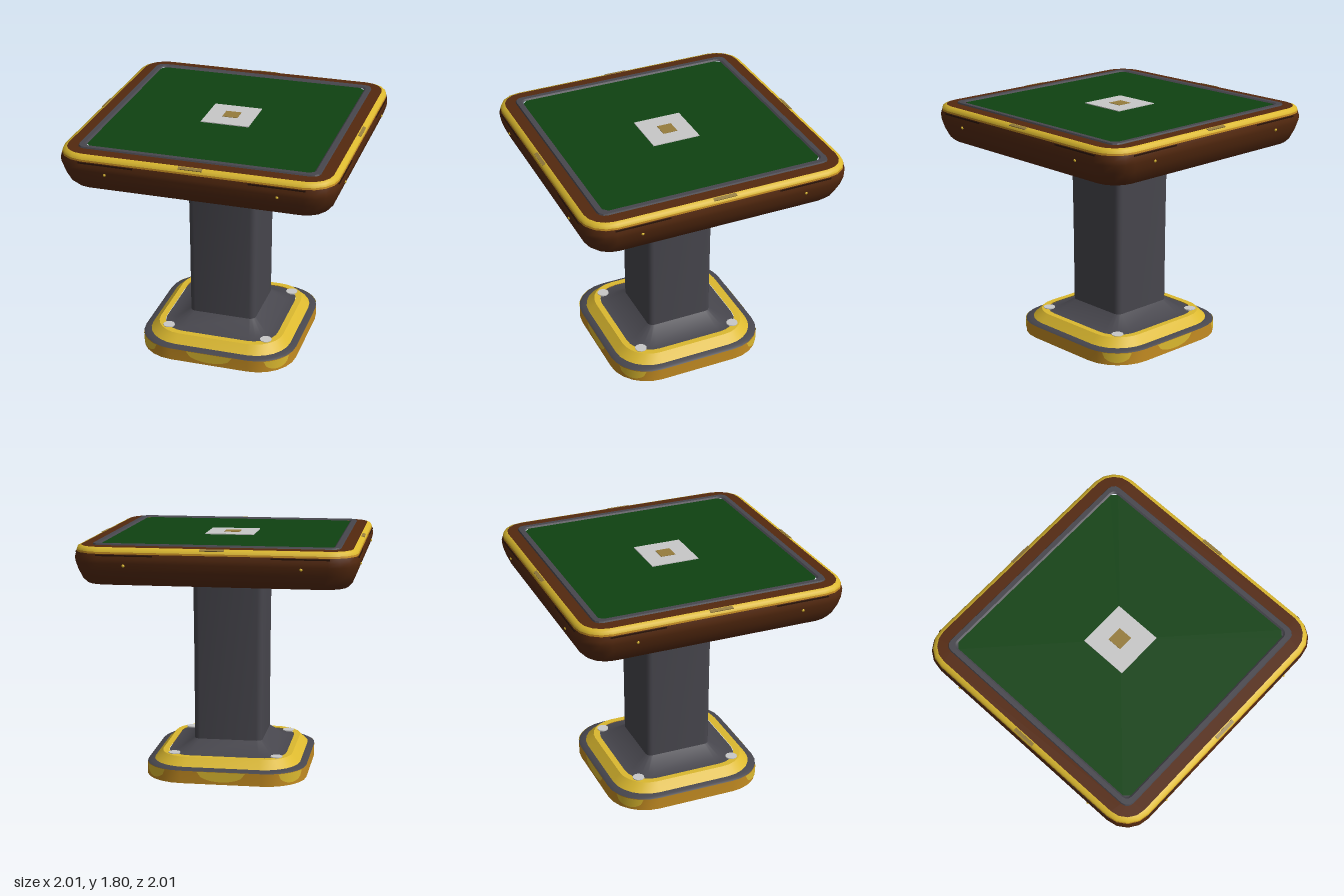
import * as THREE from 'three';
import { toCreasedNormals } from 'three/addons/utils/BufferGeometryUtils.js';

const mat = (name, color, side = THREE.FrontSide) => {
  const m = new THREE.MeshStandardMaterial({ color, side });
  m.name = name;
  return m;
};

// Points of a rounded square in the xz plane
function outline(half, r, seg) {
  const pts = [];
  for (let q = 0; q < 4; q++) {
    const mid = q * Math.PI / 2 + Math.PI / 4, c = (half - r) * Math.SQRT2;
    for (let i = 0; i <= seg; i++) {
      const a = q * Math.PI / 2 + (i / seg) * Math.PI / 2;
      pts.push([Math.cos(mid) * c + Math.cos(a) * r, Math.sin(mid) * c + Math.sin(a) * r]);
    }
  }
  return pts;
}

// Skin stacked rounded squares, rows are [half width, corner radius, y]
function loft(rows, seg = 4, crease = 0.6) {
  const rings = rows.map(([h, r, y]) => outline(h, r, seg).map(([x, z]) => [x, y, z]));
  const pos = [];
  for (let i = 0; i < rings.length - 1; i++) {
    const n = rings[i].length;
    for (let j = 0; j < n; j++) {
      const k = (j + 1) % n;
      const a = rings[i][j], b = rings[i][k], c = rings[i + 1][k], d = rings[i + 1][j];
      pos.push(...a, ...d, ...b, ...d, ...c, ...b);
    }
  }
  const g = new THREE.BufferGeometry();
  g.setAttribute('position', new THREE.Float32BufferAttribute(pos, 3));
  return toCreasedNormals(g, crease);
}

// Half-oval patch hanging from y = 0.093, following a path t -> [x, z], t in -1..1
function patch(path, n = 12) {
  const pos = [], idx = [];
  for (let i = 0; i <= n; i++) {
    const t = -1 + 2 * i / n, [x, z] = path(t);
    pos.push(x, 0.093, z, x, 0.093 - 0.073 * Math.sqrt(Math.max(0, 1 - t * t)), z);
    if (i < n) idx.push(2 * i, 2 * i + 2, 2 * i + 1, 2 * i + 1, 2 * i + 2, 2 * i + 3);
  }
  const g = new THREE.BufferGeometry();
  g.setAttribute('position', new THREE.Float32BufferAttribute(pos, 3));
  g.setIndex(idx);
  g.computeVertexNormals();
  return g;
}

export function createModel() {
  const root = new THREE.Group();
  root.name = 'gameTable';
  const D = THREE.DoubleSide;
  const wood = mat('brown wood', 0x54290f);
  const darkWood = mat('dark wood', 0x2a1408);
  const grey = mat('charcoal', 0x47464d, D);
  const gold = mat('gold', 0xdcb92f, D);
  const amber = mat('amber', 0xc48c22, D);
  const felt = mat('green felt', 0x0f4211);
  const pale = mat('pale grey', 0xc8c8c8, D);
  const tan = mat('dull brass', 0x967c3c);

  const add = (name, geo, m, x = 0, y = 0, z = 0, parent = root) => {
    const mesh = new THREE.Mesh(geo, m);
    mesh.name = name;
    mesh.position.set(x, y, z);
    parent.add(mesh);
    return mesh;
  };

  // Hollow foot
  add('footWall', loft([[0.6, 0.3, 0], [0.6, 0.3, 0.095]], 6), amber);
  add('footLedge', loft([[0.6, 0.3, 0.095], [0.585, 0.29, 0.105], [0.55, 0.27, 0.11]], 6), grey);
  add('footRing', loft([[0.55, 0.27, 0.11], [0.49, 0.22, 0.17], [0.445, 0.19, 0.17]], 6), gold);

  // Flared column
  add('column', loft([[0.445, 0.19, 0.165], [0.37, 0.12, 0.17], [0.258, 0.045, 0.25],
    [0.26, 0.045, 0.9], [0.265, 0.045, 1.52]], 4), grey);

  // Oval inlays on the foot and pale bolts at its corners
  for (const s of [1, -1]) {
    add('footInlay', patch(t => [s * 0.18 * t, s * 0.603]), gold);
  }
  for (let q = 0; q < 4; q++) {
    const mid = Math.PI / 4 + q * Math.PI / 2, sx = Math.sign(Math.cos(mid)), sz = Math.sign(Math.sin(mid));
    add('cornerInlay', patch(t => {
      const a = mid - t * 0.37;
      return [sx * 0.3 + Math.cos(a) * 0.303, sz * 0.3 + Math.sin(a) * 0.303];
    }), gold);
    add('footBolt', new THREE.CylinderGeometry(0.045, 0.045, 0.018, 10), pale, sx * 0.385, 0.166, sz * 0.385);
    add('undersideBolt', new THREE.CylinderGeometry(0.028, 0.028, 0.008, 10), pale, sx * 0.61, 1.517, sz * 0.61);
  }

  // Table top, from the underside up to the playing surface
  add('underside', loft([[0, 0, 1.52], [0.92, 0.16, 1.52]]), grey);
  add('tableBody', loft([[0.92, 0.16, 1.52], [0.95, 0.18, 1.55], [0.98, 0.19, 1.62],
    [0.998, 0.2, 1.68], [1, 0.2, 1.71], [0.992, 0.2, 1.745]], 4, 0.8), wood);
  add('lowerTrim', loft([[0.992, 0.2, 1.745], [0.99, 0.2, 1.758]]), amber);
  add('upperTrim', loft([[0.99, 0.2, 1.758], [0.982, 0.19, 1.778], [0.955, 0.16, 1.788]], 4, 0.9), gold);
  add('rim', loft([[0.955, 0.16, 1.788], [0.87, 0.06, 1.79]]), wood);
  add('innerFrame', loft([[0.872, 0.06, 1.788], [0.866, 0.055, 1.8], [0.832, 0.045, 1.8],
    [0.82, 0.04, 1.79]], 3, 0.4), grey);
  add('playingSurface', loft([[0.822, 0.04, 1.79], [0, 0, 1.79]], 1), felt);
  add('centrePlate', new THREE.BoxGeometry(0.36, 0.006, 0.36), pale, 0, 1.793, 0);
  add('centreInset', new THREE.BoxGeometry(0.115, 0.004, 0.11), tan, 0, 1.797, -0.005);

  // Drawer lines, knobs and trim marks on each side
  for (let q = 0; q < 4; q++) {
    const side = new THREE.Group();
    side.name = 'tableSide';
    side.rotation.y = q * Math.PI / 2;
    root.add(side);
    for (const s of [1, -1]) {
      add('drawerGap', new THREE.BoxGeometry(0.4, 0.01, 0.008), darkWood, s * 0.61, 1.735, 0.993, side);
      add('drawerKnob', new THREE.SphereGeometry(0.011, 8, 6), gold, s * 0.615, 1.665, 0.993, side);
    }
    add('trimMark', new THREE.BoxGeometry(0.17, 0.006, 0.025), tan, 0, 1.782, 0.974, side).rotation.x = 0.36;
  }
  return root;
}
